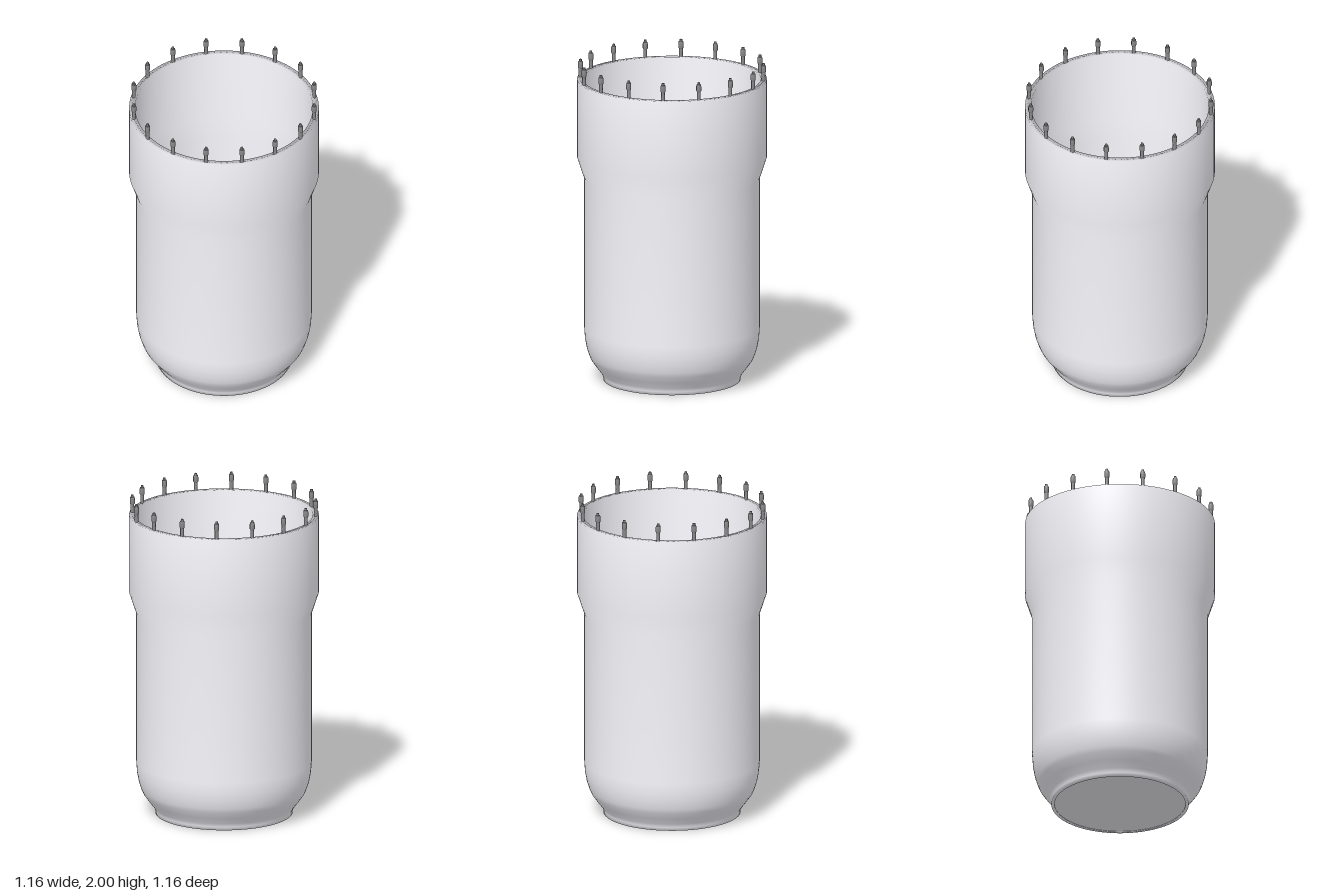
import * as THREE from 'three';

const shell = new THREE.MeshStandardMaterial({ color: 0xf8f7fd });
const metal = new THREE.MeshStandardMaterial({ color: 0x8a8a8c });

function lathe(name, material, profile, segments = 96) {
  const points = profile.map(([r, y]) => new THREE.Vector2(r, y));
  const mesh = new THREE.Mesh(new THREE.LatheGeometry(points, segments), material);
  mesh.name = name;
  return mesh;
}

export function createModel() {
  const model = new THREE.Group();
  model.name = 'vessel';

  // One smooth shell: foot ring, outer wall, collar, rim, then the inner wall
  model.add(lathe('shell', shell, [
    [0.4, 0.004], [0.4, 0], [0.42, 0], [0.42, 0.02], [0.432, 0.045], [0.463, 0.085],
    [0.495, 0.13], [0.508, 0.16], [0.522, 0.205], [0.532, 0.26], [0.537, 0.33],
    [0.537, 1.27], [0.58, 1.4], [0.58, 1.89],
    [0.543, 1.89], [0.543, 1.41], [0.5, 1.28], [0.5, 0.34],
    [0.495, 0.27], [0.485, 0.21], [0.472, 0.17], [0.46, 0.145],
    [0.428, 0.1], [0.402, 0.06], [0.395, 0.03], [0.395, 0.012],
  ]));

  // Floor inside and underside
  model.add(lathe('floor', shell, [[0.395, 0.012], [0, 0.012]]));
  model.add(lathe('underside', shell, [[0, 0.004], [0.4, 0.004]]));

  // Sixteen dark studs around the rim: shaft, thicker head and small tip
  const studCount = 16;
  for (let i = 0; i < studCount; i++) {
    const angle = (i / studCount) * Math.PI * 2;
    const stud = new THREE.Group();
    stud.name = 'rimStud';
    stud.add(
      lathe('studShaft', metal, [[0.0115, 0], [0.0115, 0.054]], 16),
      lathe('studHead', metal, [
        [0.011, 0.05], [0.0155, 0.058], [0.0155, 0.086], [0.0135, 0.097],
      ], 16),
      lathe('studShoulder', metal, [[0.0135, 0.097], [0.008, 0.098]], 16),
      lathe('studTip', metal, [[0.008, 0.097], [0.008, 0.11]], 16),
      lathe('studTop', metal, [[0.008, 0.11], [0, 0.11]], 16),
    );
    stud.position.set(Math.sin(angle) * 0.562, 1.89, Math.cos(angle) * 0.562);
    stud.rotation.y = angle;
    model.add(stud);
  }

  return model;
}
